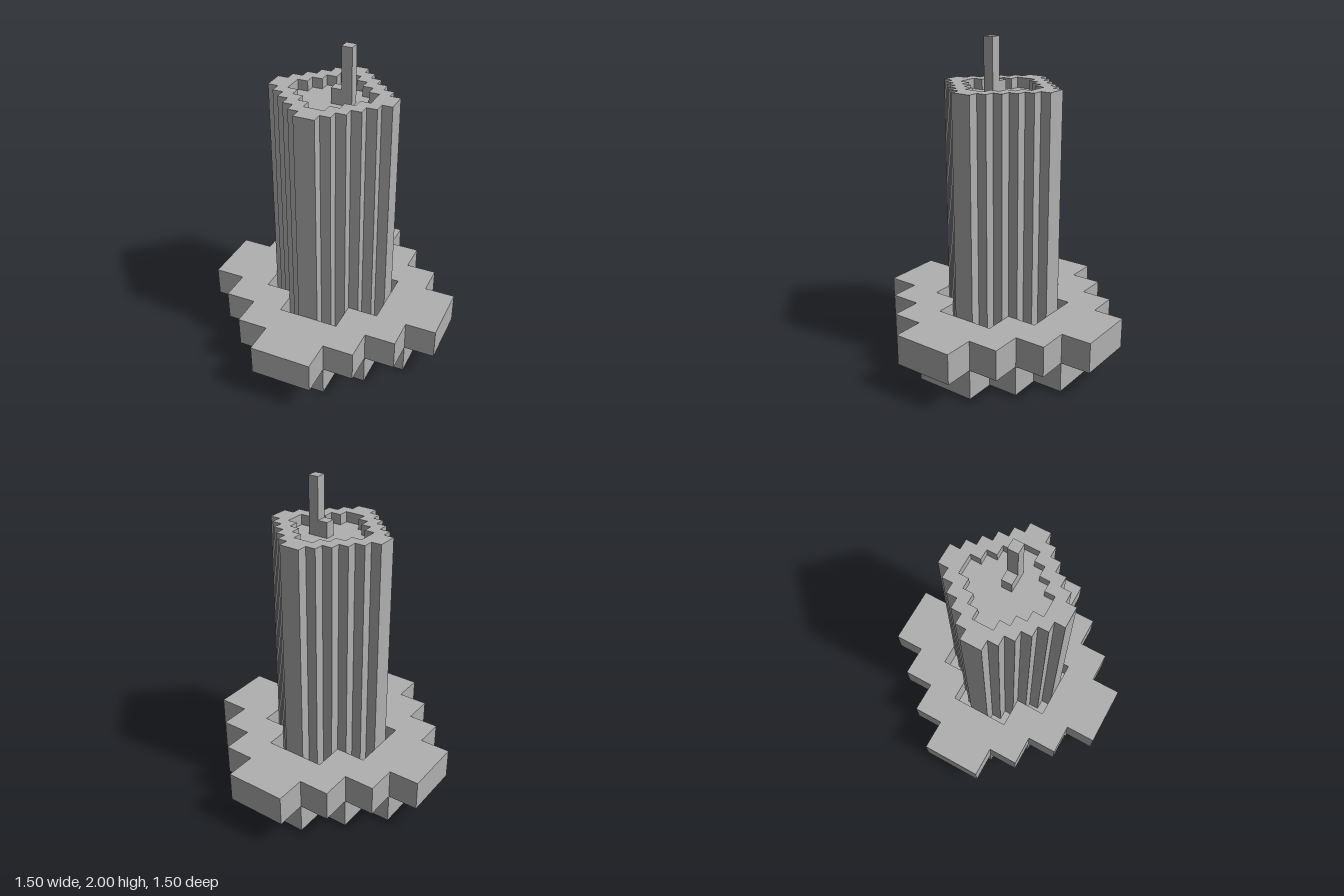
import * as THREE from 'three';

const PLATE = 0.1875; // large block size of the holder
const WAX = 0.0625; // small block size of the candle

// Corner points of a stepped round outline with n steps of the given size
function steppedOutline(n, size) {
  const quarter = [];
  for (let k = 0; k < n; k++) {
    const x = (n - k) * size;
    if (k > 0) quarter.push([x, k * size]);
    quarter.push([x, (k + 1) * size]);
  }
  const points = [];
  for (let q = 0; q < 4; q++) {
    for (const [x, y] of quarter) {
      const turned = [[x, y], [-y, x], [-x, -y], [y, -x]][q];
      points.push(new THREE.Vector2(turned[0], turned[1]));
    }
  }
  return points;
}

// Upright stepped slab from y0 to y1, optionally with a stepped hole
function steppedSlab(n, size, y0, y1, holeSteps = 0) {
  const shape = new THREE.Shape(steppedOutline(n, size));
  if (holeSteps) shape.holes.push(new THREE.Path(steppedOutline(holeSteps, size).reverse()));
  const geometry = new THREE.ExtrudeGeometry(shape, { depth: y1 - y0, bevelEnabled: false });
  geometry.rotateX(-Math.PI / 2);
  geometry.translate(0, y0, 0);
  return geometry;
}

export function createModel() {
  const model = new THREE.Group();
  model.name = 'candleOnHolder';
  const grey = new THREE.MeshStandardMaterial({ color: 0xb0b0b0 });
  grey.name = 'grey';

  const add = (name, geometry) => {
    const mesh = new THREE.Mesh(geometry, grey);
    mesh.name = name;
    model.add(mesh);
  };

  // Holder: solid foot and a wider ring with a recess around the candle
  add('holderFoot', steppedSlab(3, PLATE, 0, PLATE));
  add('holderRing', steppedSlab(4, PLATE, PLATE, 2 * PLATE, 2));

  // Candle: solid body with a raised rim around the shallow melt pool
  const poolY = 1.65625;
  const topY = 1.71875;
  add('candleBody', steppedSlab(6, WAX, PLATE, poolY));
  add('candleRim', steppedSlab(6, WAX, poolY, topY, 4));

  // Wick: L-profile, a low step and a tall stem
  const w = WAX;
  const profile = [[0, poolY], [2 * w, poolY], [2 * w, 2], [w, 2], [w, 1.75], [0, 1.75]];
  const wick = new THREE.ExtrudeGeometry(
    new THREE.Shape(profile.map(([x, y]) => new THREE.Vector2(x, y))),
    { depth: w, bevelEnabled: false }
  );
  wick.translate(0, 0, -w / 2);
  add('wick', wick);

  return model;
}
